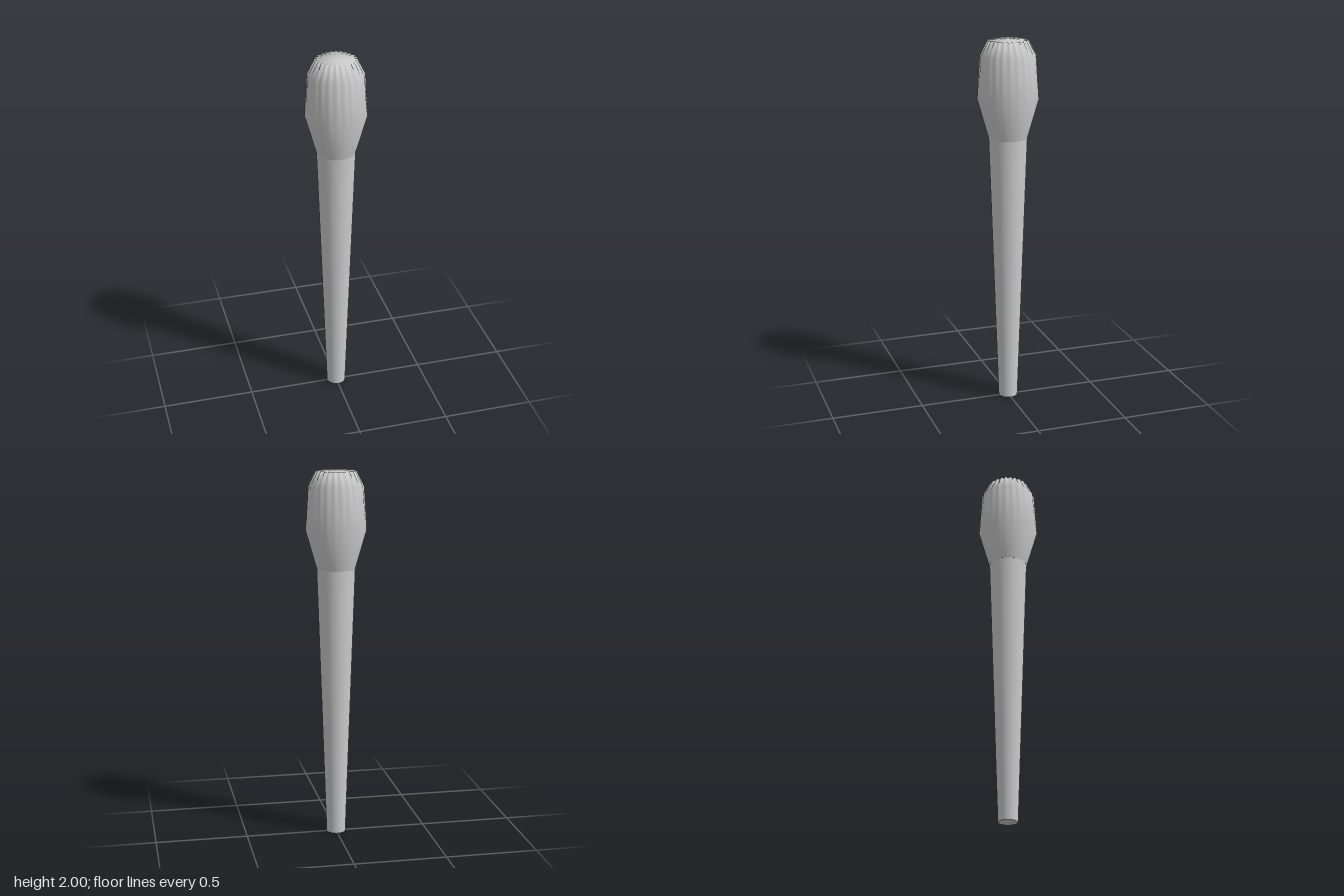
import * as THREE from 'three';
import { mergeVertices } from 'three/addons/utils/BufferGeometryUtils.js';

const TEETH = 24;

export function createModel() {
  const group = new THREE.Group();
  const material = new THREE.MeshStandardMaterial({ color: 0xcccccc });

  const add = (name, geometry) => {
    const mesh = new THREE.Mesh(geometry, material);
    mesh.name = name;
    group.add(mesh);
  };

  // Long tapered handle, closed at the foot
  const handle = new THREE.CylinderGeometry(0.103, 0.052, 1.48, 64);
  handle.translate(0, 0.74, 0);
  add('handle', handle);

  // Swollen head: radius, height, depth of the notches in that ring
  const rings = [
    [0.103, 1.48, 0],
    [0.163, 1.69, 0],
    [0.149, 1.92, 0.004],
    [0.108, 2.0, 0.016],
    [0, 2.0, 0],
  ];
  const profile = rings.map(([r, y]) => new THREE.Vector2(r, y));
  let head = new THREE.LatheGeometry(profile, TEETH * 4);

  // Pull the upper rings inward between the teeth to make the fluted crown
  const pos = head.attributes.position;
  for (let i = 0; i < pos.count; i++) {
    const [r, , depth] = rings[i % rings.length];
    if (!depth) continue;
    const angle = Math.atan2(pos.getZ(i), pos.getX(i));
    const scale = 1 - (depth * (0.5 - 0.5 * Math.cos(angle * TEETH))) / r;
    pos.setX(i, pos.getX(i) * scale);
    pos.setZ(i, pos.getZ(i) * scale);
  }

  // Weld the seam so the whole head shades smoothly
  head.deleteAttribute('uv');
  head.deleteAttribute('normal');
  head = mergeVertices(head, 1e-5);
  head.computeVertexNormals();
  add('flutedHead', head);

  return group;
}
